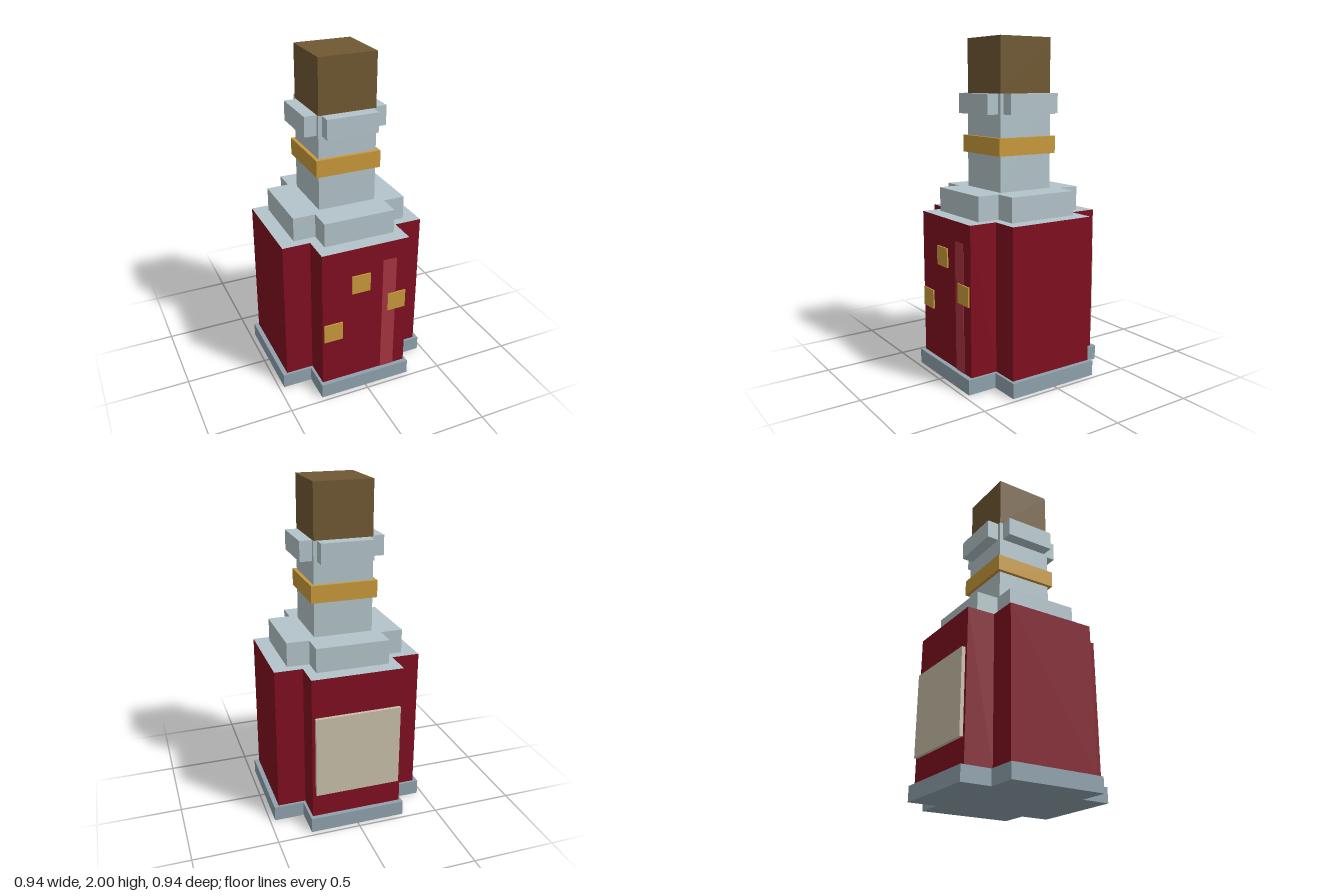
import * as THREE from 'three';

const mat = (name, color) => {
  const m = new THREE.MeshStandardMaterial({ color });
  m.name = name;
  return m;
};

// Plus-shaped prism: o = half reach of the arms, i = half width of the arms
function crossPrism(o, i, y0, y1) {
  const pts = [
    [i, -o], [i, -i], [o, -i], [o, i], [i, i], [i, o],
    [-i, o], [-i, i], [-o, i], [-o, -i], [-i, -i], [-i, -o],
  ].map(([x, y]) => new THREE.Vector2(x, y));
  const geo = new THREE.ExtrudeGeometry(new THREE.Shape(pts), { depth: y1 - y0, bevelEnabled: false });
  return geo.rotateX(-Math.PI / 2).translate(0, y0, 0);
}

// Box given by its limits on each axis
function box(x0, x1, y0, y1, z0, z1) {
  return new THREE.BoxGeometry(x1 - x0, y1 - y0, z1 - z0)
    .translate((x0 + x1) / 2, (y0 + y1) / 2, (z0 + z1) / 2);
}
const column = (h, y0, y1) => box(-h, h, y0, y1, -h, h);

export function createModel() {
  const group = new THREE.Group();
  group.name = 'bottle';
  const glass = mat('pale glass', 0xb3c4ca);
  const baseGlass = mat('base glass', 0x8fa2ad);
  const liquid = mat('red liquid', 0x800e20);
  const shine = mat('red highlight', 0xa83440);
  const gold = mat('gold', 0xc8993a);
  const cork = mat('cork', 0x705832);
  const paper = mat('label paper', 0xcabfa9);

  const add = (name, geo, material) => {
    const m = new THREE.Mesh(geo, material);
    m.name = name;
    group.add(m);
  };

  // Bottle, bottom to top; the body has glass caps and red sides
  add('base', crossPrism(0.47, 0.29, 0, 0.09), baseGlass);
  add('body', crossPrism(0.442, 0.274, 0.09, 0.972), [glass, liquid]);
  add('shoulder', crossPrism(0.353, 0.219, 0.972, 1.117), glass);
  add('neck', column(0.177, 1.117, 1.68), glass);
  add('neckBand', column(0.198, 1.328, 1.43), gold);
  add('lip', crossPrism(0.25, 0.155, 1.562, 1.68), glass);
  add('stopper', column(0.175, 1.68, 2), cork);

  // Front decoration
  add('highlight', box(0.11, 0.198, 0.09, 0.855, 0.438, 0.445), shine);
  for (const [x, y] of [[-0.206, 0.444], [-0.031, 0.738], [0.203, 0.561]]) {
    add('goldFleck', box(x - 0.058, x + 0.058, y - 0.058, y + 0.058, 0.442, 0.4515), gold);
  }

  // Label on the back
  add('backLabel', box(-0.256, 0.256, 0.24, 0.736, -0.463, -0.44), paper);

  return group;
}
